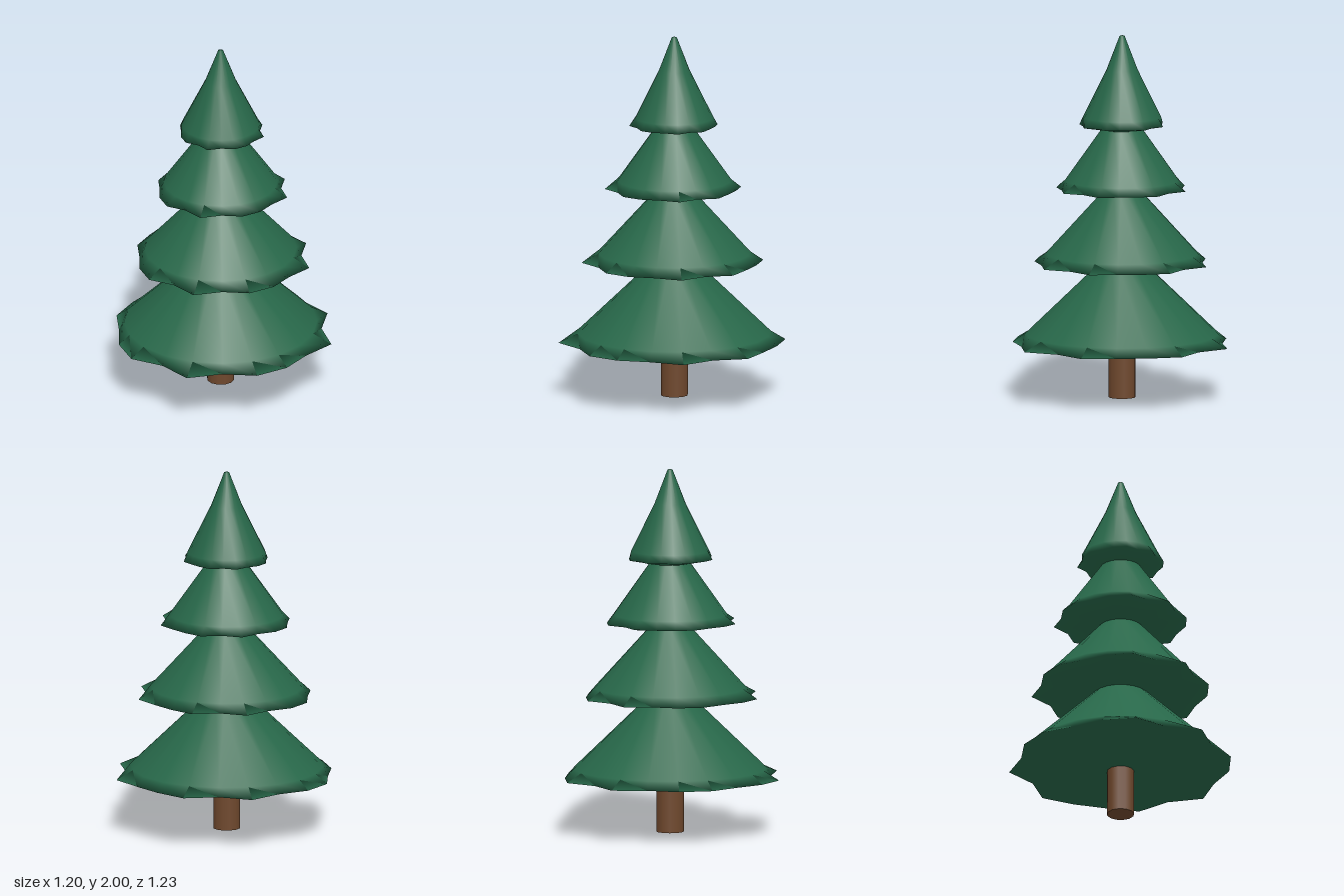
import * as THREE from 'three';

const SIDES = 20;
const AXIS_X = -0.017;

// Ragged skirt radius per side, clockwise from the back; shared by every tier
const RIM = [0.617, 0.54, 0.609, 0.576, 0.572, 0.617, 0.551, 0.632, 0.569, 0.599,
  0.61, 0.558, 0.634, 0.553, 0.611, 0.587, 0.555, 0.594, 0.588, 0.549];

// Tiers from bottom to top: rim scale, rim height, and the [radius, y] rings above the rim
const TIERS = [
  { scale: 1, y: 0.3, drop: 0.045, rings: [[0, 0.86], [0.155, 0.71], [0.527, 0.35]] },
  { scale: 0.8, y: 0.745, drop: 0.04, rings: [[0, 1.25], [0.125, 1.115], [0.415, 0.795]] },
  { scale: 0.6, y: 1.155, drop: 0.038, rings: [[0, 1.63], [0.12, 1.47], [0.31, 1.2]] },
  { scale: 0.39, y: 1.505, drop: 0.035, rings: [[0, 2], [0.014, 1.995], [0.085, 1.81], [0.213, 1.55]] },
];

// Closed smooth skin through the rings, the ragged rim and the shallow underside
function tierGeometry({ scale, y, drop, rings }) {
  const round = ([r, h]) => ({ h, radius: () => r });
  const loops = [
    ...rings.map(round),
    { h: y, radius: (j) => RIM[j] * scale },
    round([0.2 * scale, y - drop + 0.005]),
    round([0, y - drop]),
  ];
  const positions = [];
  const index = [];
  loops.forEach(({ h, radius }, i) => {
    for (let j = 0; j < SIDES; j++) {
      const a = (j / SIDES) * Math.PI * 2;
      positions.push(radius(j) * Math.sin(a), h, -radius(j) * Math.cos(a));
      if (i === loops.length - 1) continue;
      const k = (j + 1) % SIDES;
      const [p, q, s, t] = [i * SIDES + j, i * SIDES + k, (i + 1) * SIDES + j, (i + 1) * SIDES + k];
      if (i > 0) index.push(p, q, s);
      if (i < loops.length - 2) index.push(q, t, s);
    }
  });
  const geometry = new THREE.BufferGeometry();
  geometry.setAttribute('position', new THREE.Float32BufferAttribute(positions, 3));
  geometry.setIndex(index);
  geometry.computeVertexNormals();
  return geometry;
}

export function createModel() {
  const needleGreen = new THREE.MeshStandardMaterial({ color: 0x276749 });
  needleGreen.name = 'needleGreen';
  const barkBrown = new THREE.MeshStandardMaterial({ color: 0x6f482d });
  barkBrown.name = 'barkBrown';

  const tree = new THREE.Group();
  tree.name = 'pineTree';

  // Trunk, ending inside the lowest tier
  const trunk = new THREE.Mesh(new THREE.CylinderGeometry(0.075, 0.075, 0.3, 12), barkBrown);
  trunk.name = 'trunk';
  trunk.position.set(AXIS_X, 0.15, 0);
  tree.add(trunk);

  // Stacked foliage
  TIERS.forEach((tier, i) => {
    const mesh = new THREE.Mesh(tierGeometry(tier), needleGreen);
    mesh.name = `foliageTier${i + 1}`;
    mesh.position.x = AXIS_X;
    tree.add(mesh);
  });
  return tree;
}
